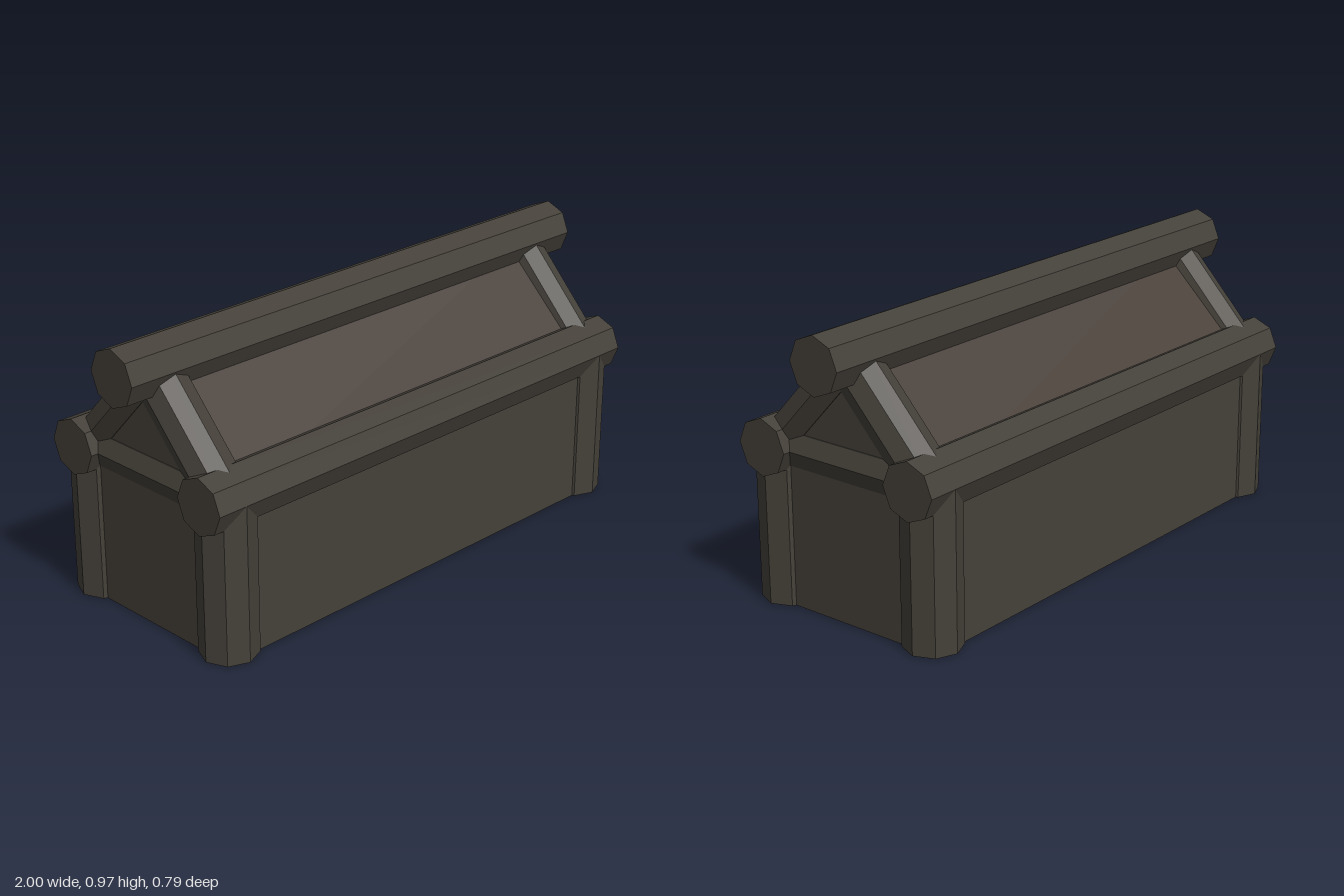
import * as THREE from 'three';

export function createModel() {
  const model = new THREE.Group();
  const make = (name, color) => {
    const m = new THREE.MeshStandardMaterial({ color, flatShading: true, side: THREE.DoubleSide });
    m.name = name;
    return m;
  };
  const timber = make('dark timber', 0x45413a);
  const roofing = make('brown roof', 0x4a413b);

  const add = (name, geometry, material, x = 0, y = 0, z = 0) => {
    const mesh = new THREE.Mesh(geometry, material);
    mesh.name = name;
    mesh.position.set(x, y, z);
    model.add(mesh);
    return mesh;
  };

  // Eight-sided log between two points
  const UP = new THREE.Vector3(0, 1, 0);
  const log = (name, from, to, radius, open = false) => {
    const a = new THREE.Vector3(...from), b = new THREE.Vector3(...to);
    const dir = b.clone().sub(a);
    const geometry = new THREE.CylinderGeometry(radius, radius, dir.length(), 8, 1, open);
    const mesh = add(name, geometry, timber);
    mesh.position.copy(a).add(b).multiplyScalar(0.5);
    mesh.quaternion.setFromUnitVectors(UP, dir.normalize());
  };

  const R = 0.096, THIN = 0.08;         // log radii
  const postX = 0.83, postZ = 0.3, eaveY = 0.53;
  const wallX = 0.885, wallZ = 0.36, wallTop = 0.525, apex = 0.885;

  // Long logs along the ridge and eaves
  log('ridgeBeam', [-1, 0.87, 0], [1, 0.87, 0], R);
  for (const s of [1, -1]) log('eaveBeam', [-0.935, eaveY, s * postZ], [0.935, eaveY, s * postZ], R);

  // Corner posts, rafters and tie beams
  for (const sx of [1, -1]) {
    const x = sx * postX;
    for (const sz of [1, -1]) {
      log('cornerPost', [x, 0, sz * postZ], [x, eaveY, sz * postZ], R, true);
      log('rafter', [x, 0.525, sz * postZ], [x, 0.845, 0], THIN, true);
    }
    log('tieBeam', [x, eaveY, -postZ], [x, eaveY, postZ], THIN, true);
  }

  // Long walls and roof slopes, open underneath
  const slope = Math.hypot(wallZ, apex - wallTop);
  const pitch = Math.atan2(wallZ, apex - wallTop);
  for (const s of [1, -1]) {
    const wall = add('longWall', new THREE.PlaneGeometry(2 * wallX, wallTop), timber, 0, wallTop / 2, s * wallZ);
    const roof = add('roofPanel', new THREE.PlaneGeometry(2 * wallX, slope), roofing, 0, (apex + wallTop) / 2, s * wallZ / 2);
    if (s < 0) wall.rotation.y = Math.PI;
    roof.rotation.order = 'YXZ';
    roof.rotation.set(-pitch, s < 0 ? Math.PI : 0, 0);
  }

  // Gabled end walls
  const gable = new THREE.Shape([
    [-wallZ, 0], [wallZ, 0], [wallZ, wallTop], [0, apex], [-wallZ, wallTop],
  ].map(([x, y]) => new THREE.Vector2(x, y)));
  for (const s of [1, -1]) {
    add('endWall', new THREE.ShapeGeometry(gable), timber, s * wallX).rotation.y = s * Math.PI / 2;
  }

  return model;
}
